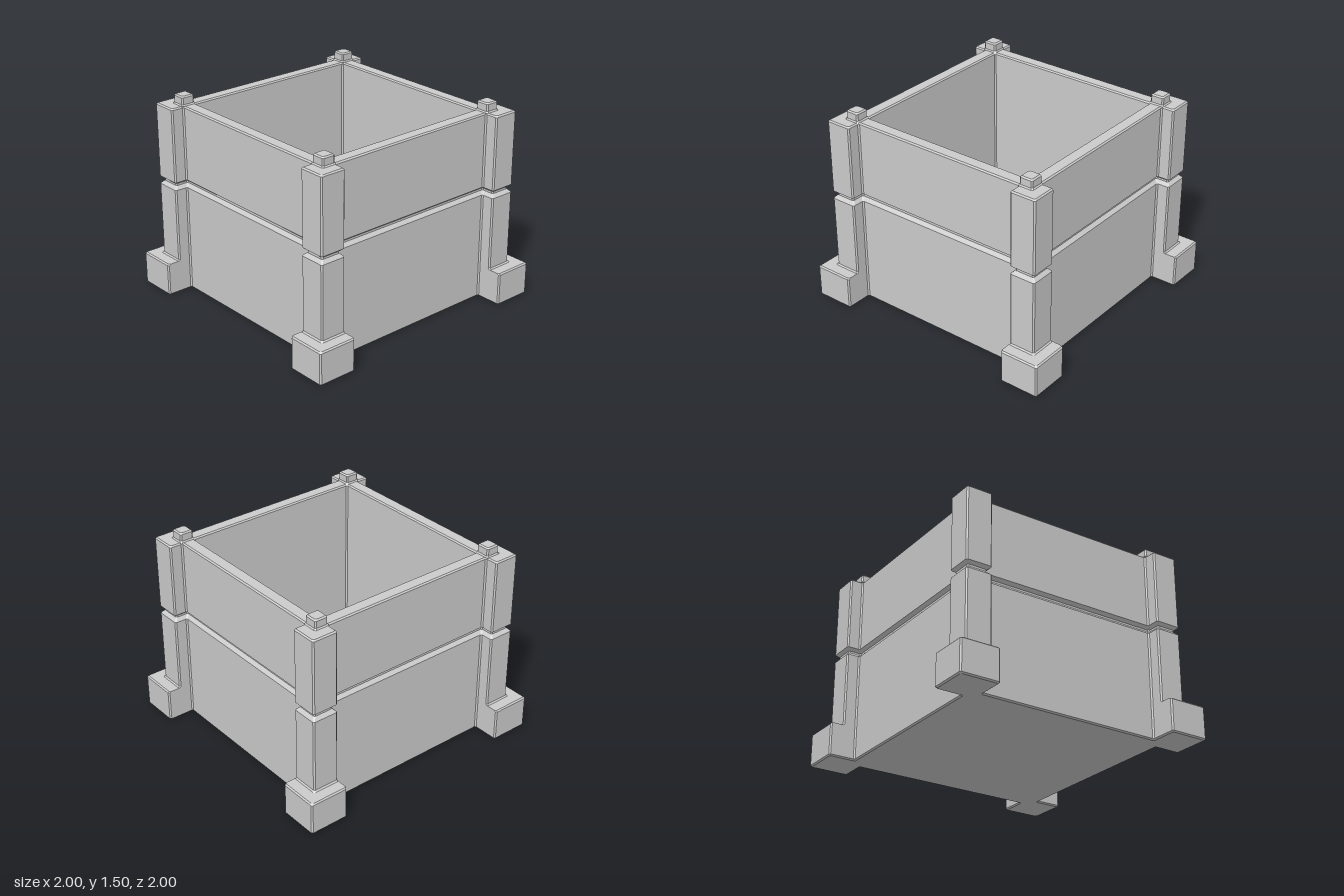
import * as THREE from 'three';

const B = 0.01; // bevel size
const material = new THREE.MeshStandardMaterial({ color: 0xcccccc, flatShading: true });

// Repeat one quadrant of corners four times, then cut every corner by a small bevel.
function bevelledLoop(quadrant) {
  const corners = [];
  for (let k = 0; k < 4; k++) {
    for (const [x, y] of quadrant) {
      let p = new THREE.Vector2(x, y);
      for (let r = 0; r < k; r++) p = new THREE.Vector2(-p.y, p.x);
      corners.push(p);
    }
  }
  const n = corners.length;
  return corners.flatMap((c, i) =>
    [corners[(i + n - 1) % n], corners[(i + 1) % n]].map((other) =>
      c.clone().add(other.clone().sub(c).setLength(B))));
}

// Outline with corner posts reaching p, walls at w, and posts starting at q.
const outline = (p, w, q) => bevelledLoop([[w, q], [p, q], [p, p], [q, p], [q, w]]);
const square = (h) => bevelledLoop([[h, h]]);

// Skin between successive [height, loop] sections.
function loft(sections) {
  const pos = [];
  const put = ([y, loop], j) => {
    const p = loop[j % loop.length];
    pos.push(p.x, y, -p.y);
  };
  for (let i = 0; i + 1 < sections.length; i++) {
    const lo = sections[i], hi = sections[i + 1];
    for (let j = 0; j < lo[1].length; j++) {
      put(lo, j); put(lo, j + 1); put(hi, j + 1);
      put(lo, j); put(hi, j + 1); put(hi, j);
    }
  }
  const g = new THREE.BufferGeometry();
  g.setAttribute('position', new THREE.Float32BufferAttribute(pos, 3));
  g.computeVertexNormals();
  return g;
}

// Flat cap over a loop, optionally with a hole, facing up or down.
function cap(y, loop, up = true, hole = null) {
  const shape = new THREE.Shape(loop);
  if (hole) shape.holes.push(new THREE.Path(hole));
  return new THREE.ShapeGeometry(shape).rotateX(up ? -Math.PI / 2 : Math.PI / 2).translate(0, y, 0);
}

export function createModel() {
  const model = new THREE.Group();
  const add = (name, geometry, parent = model) => {
    const mesh = new THREE.Mesh(geometry, material);
    mesh.name = name;
    parent.add(mesh);
    return mesh;
  };

  // Outer shell: feet, posts, groove and rim, as [height, post reach, inset]
  const profile = [
    [0, 1 - B, B], [B, 1, 0], [0.24, 1, 0], [0.25, 1 - B, 0],
    [0.25, 0.91, 0], [0.26, 0.9, 0],
    [0.81, 0.9, 0], [0.82, 0.89, B], [0.835, 0.875, 0.025],
    [0.85, 0.875, 0.025], [0.87, 0.9, 0],
    [1.42, 0.9, 0], [1.43, 0.89, B],
  ];
  const sections = profile.map(([y, p, d]) => [y, outline(p, 0.8 - d, 0.7 + d)]);
  add('outerShell', loft(sections));
  add('underside', cap(0, sections[0][1], false));

  // Top rim and hollow interior
  const rimHole = square(0.71);
  add('rim', cap(1.43, sections.at(-1)[1], true, rimHole));
  add('innerWalls', loft([[1.43, rimHole], [1.42, square(0.7)], [0.1, square(0.7)]]));
  add('floor', cap(0.1, square(0.7)));

  // Small pegs on top of the corner posts
  const pegSections = [[1.42, 0.052], [1.43, 0.06], [1.44, 0.052], [1.49, 0.052], [1.5, 0.042]]
    .map(([y, h]) => [y, square(h)]);
  const pegSide = loft(pegSections);
  const pegTop = cap(1.5, pegSections.at(-1)[1]);
  for (const x of [-1, 1]) {
    for (const z of [-1, 1]) {
      const peg = new THREE.Group();
      peg.name = (z > 0 ? 'front' : 'back') + (x > 0 ? 'Left' : 'Right') + 'Peg';
      add('pegSides', pegSide, peg);
      add('pegTop', pegTop, peg);
      peg.position.set(x * 0.755, 0, z * 0.755);
      model.add(peg);
    }
  }
  return model;
}
